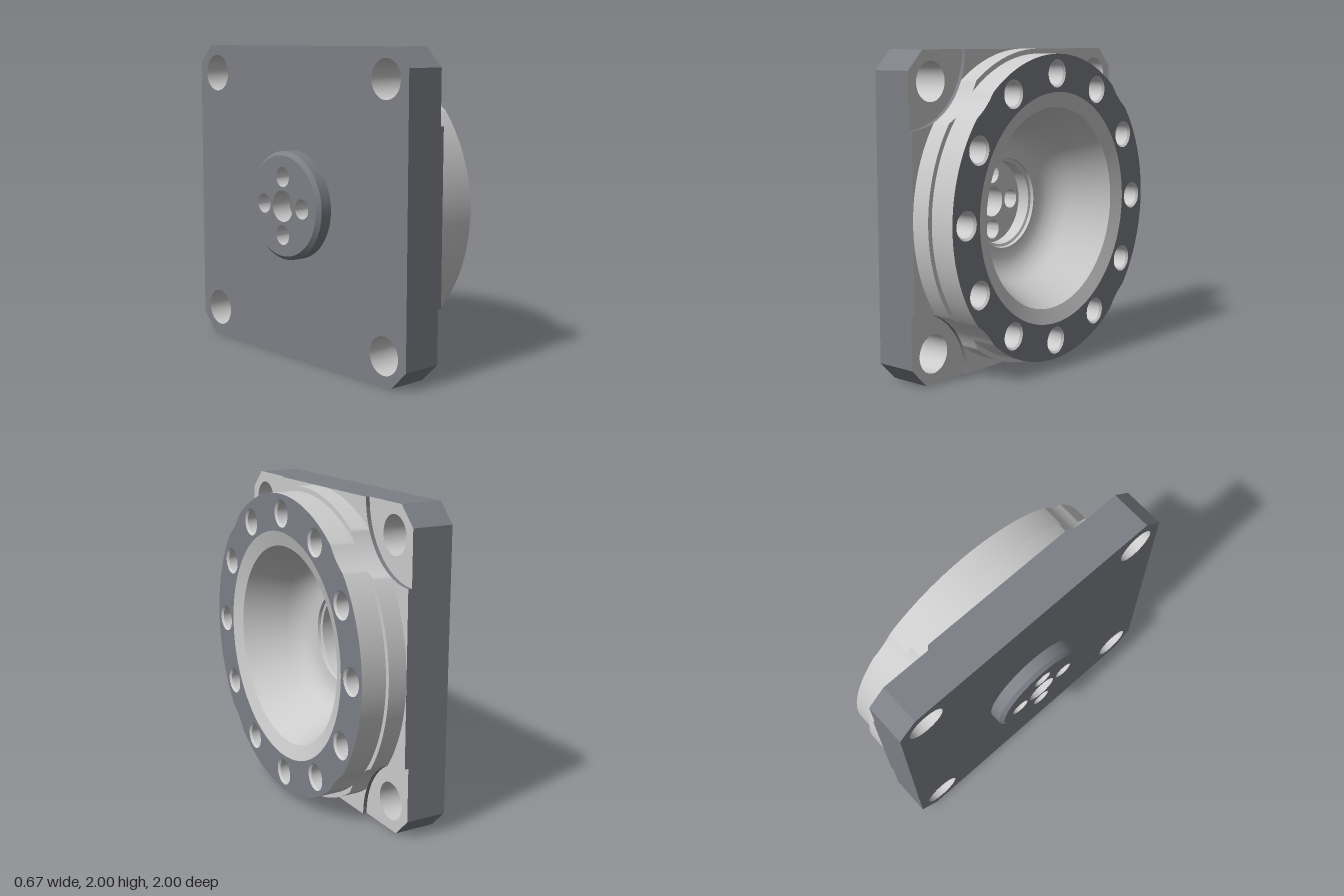
import * as THREE from 'three';
import { toCreasedNormals } from 'three/addons/utils/BufferGeometryUtils.js';

const light = new THREE.MeshStandardMaterial({ color: 0xcccccc, side: THREE.DoubleSide });
const dark = new THREE.MeshStandardMaterial({ color: 0x7c7f86, side: THREE.DoubleSide });

const CORNER = 0.815;      // corner hole offset
const CUT = 0.46;          // radius of the relief centred on each plate corner
const polar = (r, a) => new THREE.Vector2(r * Math.cos(a), r * Math.sin(a));

// Repeats one corner's points around the four corners
function fourfold(points) {
  const out = [];
  for (let k = 0; k < 4; k++) {
    for (const p of points) out.push(p.clone().rotateAround(new THREE.Vector2(), k * Math.PI / 2));
  }
  return out;
}

// Disc outline scalloped by the four corner reliefs
function scallopedDisc(R) {
  const out = [], n = 480, d = Math.SQRT2;
  for (let i = 0; i < n; i++) {
    const a = i / n * Math.PI * 2;
    const off = (a % (Math.PI / 2)) - Math.PI / 4;
    const h = CUT * CUT - (d * Math.sin(off)) ** 2;
    out.push(polar(h > 0 ? Math.min(R, d * Math.cos(off) - Math.sqrt(h)) : R, a));
  }
  return out;
}

const circle = (r, x = 0, y = 0, n = 48) =>
  Array.from({ length: n }, (_, i) => polar(r, i / n * Math.PI * 2).add(new THREE.Vector2(x, y)));

export function createModel() {
  const model = new THREE.Group();
  const body = new THREE.Group();
  body.name = 'flangeBody';
  body.rotation.y = Math.PI / 2;      // local z becomes the flange axis, +x
  body.position.y = 1;
  model.add(body);

  function add(name, geometry, material) {
    const mesh = new THREE.Mesh(geometry, material);
    mesh.name = name;
    body.add(mesh);
  }

  // Flat face at depth z, dir +1 or -1 for its facing
  function face(name, outline, holes, z, dir, material) {
    const shape = new THREE.Shape(outline);
    shape.holes = holes.map(h => new THREE.Path(h));
    const g = new THREE.ShapeGeometry(shape);
    if (dir < 0) {
      const ix = g.index.array;
      for (let i = 0; i < ix.length; i += 3) [ix[i], ix[i + 1]] = [ix[i + 1], ix[i]];
      g.computeVertexNormals();
    }
    add(name, g.translate(0, 0, z), material);
  }

  // Outward wall along a counter-clockwise outline
  function wall(name, outline, z0, z1, material) {
    const pos = [];
    outline.forEach((a, i) => {
      const b = outline[(i + 1) % outline.length];
      pos.push(a.x, a.y, z0, b.x, b.y, z0, b.x, b.y, z1, a.x, a.y, z0, b.x, b.y, z1, a.x, a.y, z1);
    });
    const g = new THREE.BufferGeometry();
    g.setAttribute('position', new THREE.Float32BufferAttribute(pos, 3));
    g.computeVertexNormals();
    add(name, toCreasedNormals(g, 0.5), material);
  }

  // Turned surface from [radius, z] points
  function turned(name, profile, material, x = 0, y = 0, n = 48) {
    const g = new THREE.LatheGeometry(profile.map(p => new THREE.Vector2(...p)), n);
    g.rotateX(Math.PI / 2);
    add(name, toCreasedNormals(g, 0.4).translate(x, y, 0), material);
  }

  const cornerCentres = fourfold([new THREE.Vector2(CORNER, CORNER)]);
  const cornerHoles = cornerCentres.map(c => circle(0.12, c.x, c.y));
  const innerCut = circle(0.9, 0, 0, 96);

  // Square mounting plate with chamfered corners
  const octagon = fourfold([new THREE.Vector2(1, 0.88), new THREE.Vector2(0.88, 1)]);
  wall('plateEdge', octagon, -0.24, 0.025, dark);
  face('plateBack', octagon, [circle(0.345, 0, 0, 96), ...cornerHoles], -0.24, -1, dark);
  face('cornerReliefs', octagon, [innerCut, ...cornerHoles], 0.025, 1, light);
  for (const c of cornerCentres) {
    turned('cornerHole', [[0.12, 0.025], [0.12, -0.24]], light, c.x, c.y);
  }

  // Raised plate layer with rounded corner cuts
  const arc = [];
  for (let i = 0; i <= 24; i++) {
    arc.push(polar(CUT, -Math.PI / 2 * (1 + i / 24)).add(new THREE.Vector2(1, 1)));
  }
  const layer = fourfold(arc);
  wall('plateLayerEdge', layer, 0.025, 0.05, dark);
  face('plateLayerFace', layer, [innerCut], 0.05, 1, light);

  // Two-step round flange
  const lower = scallopedDisc(1), upper = scallopedDisc(0.97);
  wall('lowerFlange', lower, 0.05, 0.17, light);
  face('flangeStep', lower, [innerCut], 0.17, 1, light);
  wall('upperFlange', upper, 0.17, 0.33, light);

  // Ring face with twelve blind bolt holes
  const bolts = Array.from({ length: 12 }, (_, i) => polar(0.85, i * Math.PI / 6));
  face('flangeFace', upper, [circle(0.735, 0, 0, 96), ...bolts.map(b => circle(0.088, b.x, b.y, 32))],
    0.33, 1, dark);
  for (const b of bolts) {
    turned('boltHole', [[0.088, 0.33], [0.075, 0.317], [0.075, 0.13], [0, 0.13]], light, b.x, b.y, 32);
  }

  // Bowl: shallow lip, steep cone, filleted floor, central recess
  turned('bowl', [
    [0.735, 0.33], [0.64, 0.3], [0.63, 0.28], [0.515, 0.04], [0.49, 0], [0.455, -0.04],
    [0.41, -0.07], [0.36, -0.086], [0.295, -0.09], [0.29, -0.11], [0.272, -0.115], [0.272, -0.2],
  ], light, 0, 0, 96);

  // Rear boss with centre bore and four pin holes
  const pins = [[0.1, 0, 0], [0.063, 0.185, 0], [0.063, -0.185, 0], [0.063, 0, 0.185], [0.063, 0, -0.185]];
  const pinHoles = pins.map(p => circle(...p));
  turned('rearBoss', [[0.345, -0.24], [0.345, -0.315], [0.32, -0.34]], dark, 0, 0, 96);
  face('rearBossFace', circle(0.32, 0, 0, 96), pinHoles, -0.34, -1, dark);
  face('recessFloor', circle(0.272, 0, 0, 96), pinHoles, -0.2, 1, light);
  for (const [r, x, y] of pins) {
    turned('bossHole', [[r, -0.2], [r, -0.34]], light, x, y);
  }
  return model;
}
